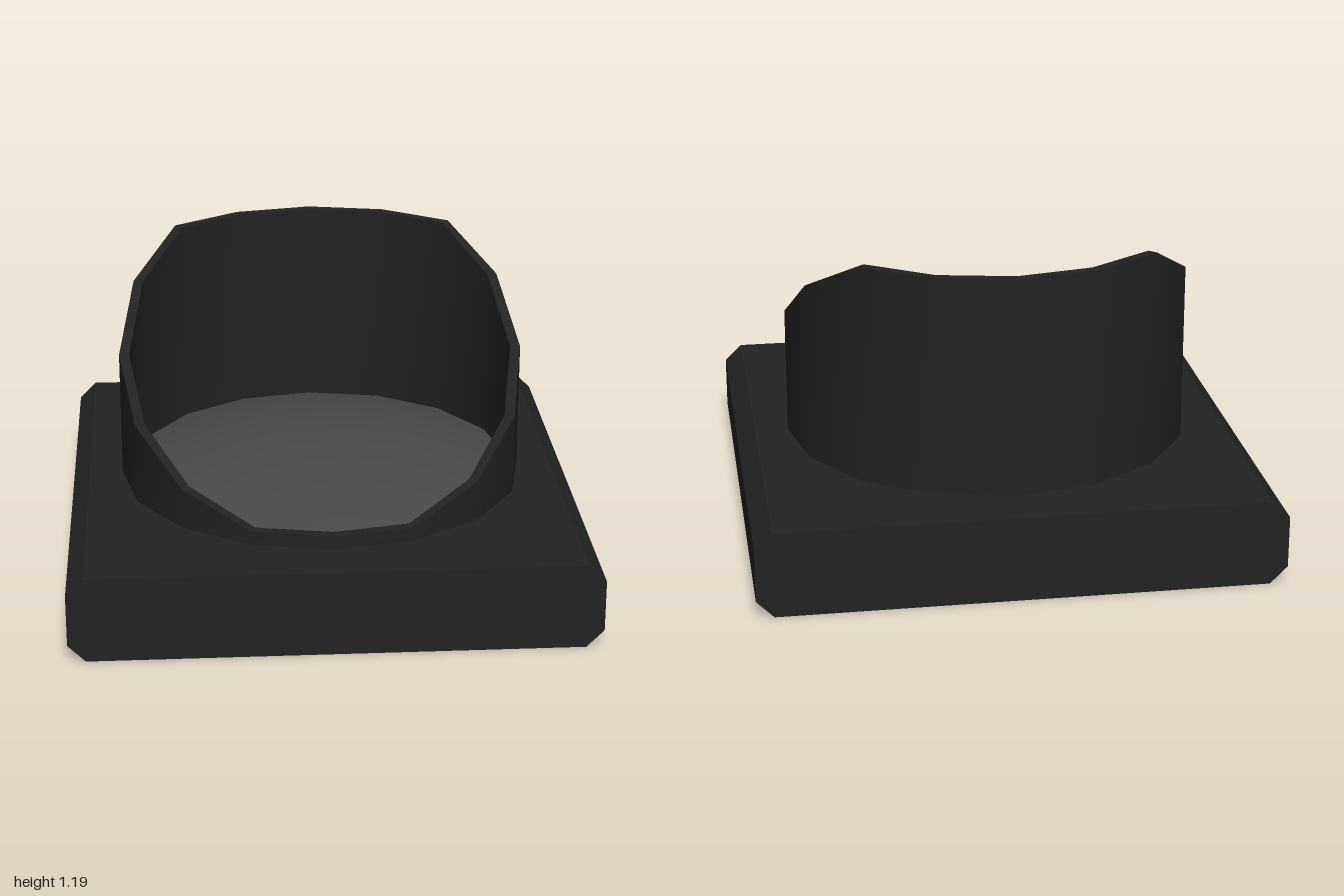
import * as THREE from 'three';

const SIDES = 16;

// Closed ring of points; heights are given from the front (+z) round to the back, then mirrored.
function ring(radius, heights) {
  return Array.from({ length: SIDES }, (_, i) => {
    const a = (i / SIDES) * Math.PI * 2;
    const y = heights[Math.min(i, SIDES - i)];
    return [radius * Math.sin(a), y, radius * Math.cos(a)];
  });
}

// Band of quads joining two rings, smooth around its length.
function band(a, b) {
  const index = [];
  for (let i = 0; i < SIDES; i++) {
    const j = (i + 1) % SIDES;
    index.push(i, j, SIDES + j, i, SIDES + j, SIDES + i);
  }
  const geometry = new THREE.BufferGeometry();
  geometry.setAttribute('position', new THREE.Float32BufferAttribute([...a, ...b].flat(), 3));
  geometry.setIndex(index);
  geometry.computeVertexNormals();
  return geometry;
}

export function createModel() {
  const model = new THREE.Group();
  model.name = 'signalLamp';
  const black = new THREE.MeshStandardMaterial({ color: 0x222222 });
  black.name = 'black housing';
  const grey = new THREE.MeshStandardMaterial({ color: 0x484848 });
  grey.name = 'grey lens';

  const add = (parent, name, geometry, material) => {
    const mesh = new THREE.Mesh(geometry, material);
    mesh.name = name;
    parent.add(mesh);
  };

  // Square base plate with chamfered side edges
  const H = 0.335, C = 0.067;
  const profile = new THREE.Shape([
    [C - 1, 0], [1 - C, 0], [1, C], [1, H - C],
    [1 - C, H], [C - 1, H], [-1, H - C], [-1, C],
  ].map(([x, y]) => new THREE.Vector2(x, y)));
  const base = new THREE.ExtrudeGeometry(profile, { depth: 2, bevelEnabled: false });
  base.translate(0, 0, -1);
  add(model, 'basePlate', base, black);

  // Hood: thin tube, low at the front and tall at the back
  const rimHeights = [0.39, 0.39, 0.495, 0.655, 0.835, 1.04, 1.19, 1.19, 1.19];
  const floor = new Array(9).fill(H - 0.015);
  const outerTop = ring(0.8, rimHeights);
  const innerTop = ring(0.76, rimHeights);
  const hood = new THREE.Group();
  hood.name = 'hood';
  add(hood, 'hoodOuterWall', band(ring(0.8, floor), outerTop), black);
  add(hood, 'hoodRim', band(outerTop, innerTop), black);
  add(hood, 'hoodInnerWall', band(innerTop, ring(0.76, floor)), black);
  model.add(hood);

  // Shallow domed lens inside the hood
  const dome = [];
  for (let i = 0; i <= 8; i++) {
    const r = 0.76 * (1 - i / 8);
    dome.push(new THREE.Vector2(r, 0.49 - 0.13 * (r / 0.76) ** 2));
  }
  add(model, 'lens', new THREE.LatheGeometry(dome, SIDES), grey);

  return model;
}
